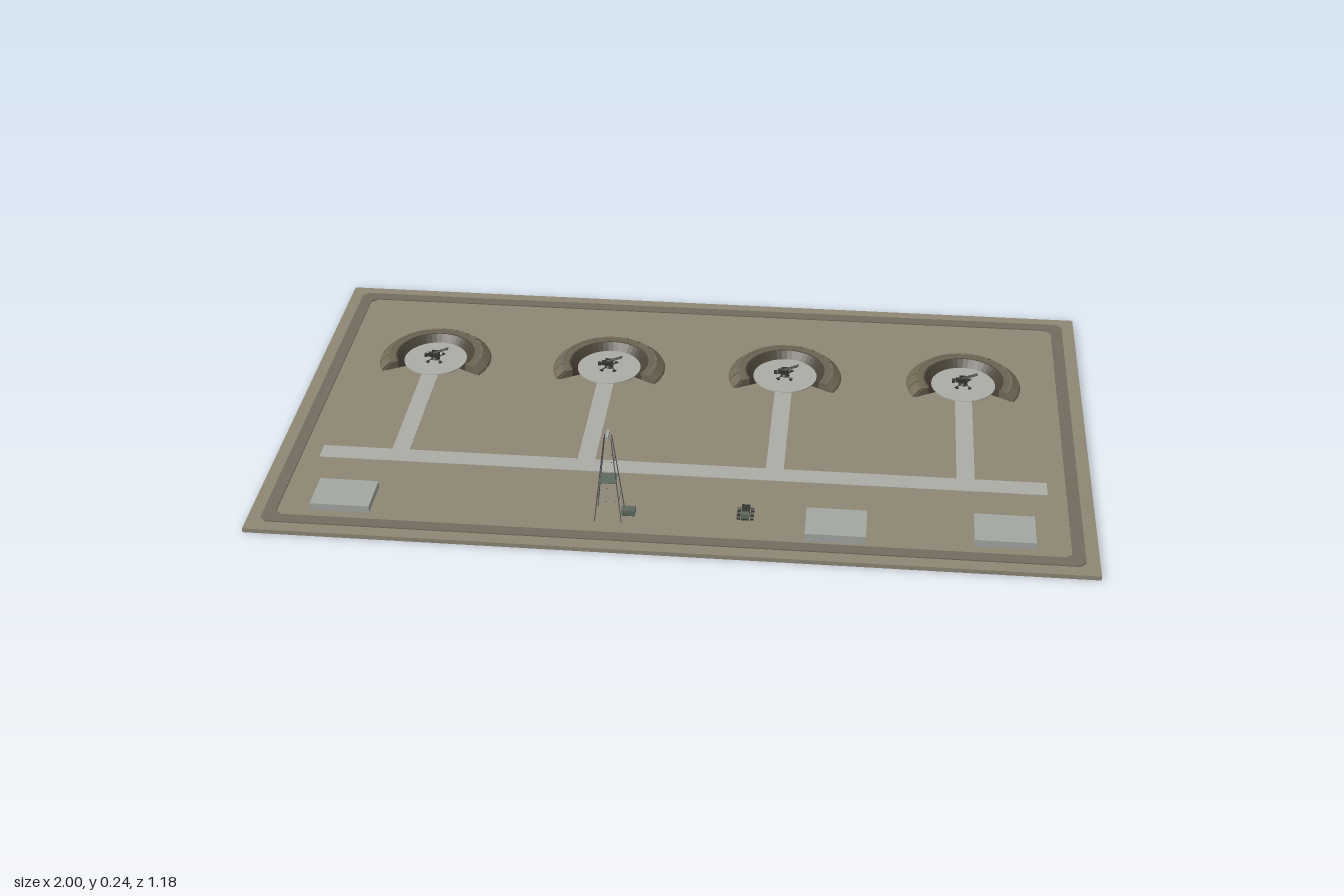
import * as THREE from 'three';
import { mergeGeometries } from 'three/addons/utils/BufferGeometryUtils.js';

const mat = (color) => new THREE.MeshStandardMaterial({ color, flatShading: true, side: THREE.DoubleSide });
const M = {
  ground: mat(0x8f8775), strip: mat(0x736c5f), concrete: mat(0xabaca6), building: mat(0xa3a7a1),
  bermTop: mat(0x6b6352), bermInner: mat(0x4a4438), bag: mat(0x746b59),
  gun: mat(0x34362f), green: mat(0x5d6a5f), steel: mat(0x55585a), panel: mat(0xa8aca8),
};
const TOP = 0.011; // ground surface height

function add(parent, name, geo, material, x = 0, y = 0, z = 0) {
  const m = new THREE.Mesh(geo, material);
  m.name = name;
  m.position.set(x, y, z);
  parent.add(m);
  return m;
}
const box = (w, h, d) => new THREE.BoxGeometry(w, h, d);

// Box standing on a given height
function slab(parent, name, material, w, h, d, x, z, y = TOP) {
  return add(parent, name, box(w, h, d), material, x, y + h / 2, z);
}

// Thin round bar between two points
function bar(parent, name, a, b, r, material, sides = 6) {
  const A = new THREE.Vector3(...a), B = new THREE.Vector3(...b), d = B.clone().sub(A);
  const m = add(parent, name, new THREE.CylinderGeometry(r, r, d.length(), sides), material);
  m.position.copy(A).lerp(B, 0.5);
  m.quaternion.setFromUnitVectors(new THREE.Vector3(0, 1, 0), d.normalize());
  return m;
}

// Closed profile [radius, height] swept over part of a circle, with capped ends
function arcSolid(profile, start, length, segments) {
  const pts = profile.map(([r, y]) => new THREE.Vector2(r, y));
  const parts = [new THREE.LatheGeometry([...pts, pts[0]], segments, start, length)];
  for (const phi of [start, start + length]) {
    parts.push(new THREE.ShapeGeometry(new THREE.Shape(pts)).rotateY(phi - Math.PI / 2));
  }
  return mergeGeometries(parts);
}

// Rectangle with cut corners
function cutRect(Type, hx, hz, c) {
  return new Type([[hx - c, -hz], [hx, c - hz], [hx, hz - c], [hx - c, hz],
    [c - hx, hz], [-hx, hz - c], [-hx, c - hz], [c - hx, -hz]].map(([x, y]) => new THREE.Vector2(x, y)));
}

function gun() {
  const g = new THREE.Group();
  g.name = 'gun';
  add(g, 'pedestal', new THREE.CylinderGeometry(0.007, 0.012, 0.008, 10), M.gun, 0, 0.004, 0);
  slab(g, 'cradle', M.gun, 0.03, 0.008, 0.014, -0.004, 0, 0.008);
  for (const s of [-1, 1]) {
    slab(g, 'sidePlate', M.gun, 0.016, 0.012, 0.002, -0.002, s * 0.009, 0.008);
    bar(g, 'barrel', [-0.01, 0.014, s * 0.003], [0.035, 0.032, s * 0.003], 0.0018, M.gun);
    bar(g, 'crossBeam', [-0.022, 0.002, -s * 0.022], [0.022, 0.002, s * 0.022], 0.0012, M.gun);
    for (const t of [-1, 1]) {
      add(g, 'foot', new THREE.CylinderGeometry(0.004, 0.004, 0.003, 8), M.gun, s * 0.016, 0.0015, t * 0.022);
    }
  }
  slab(g, 'seat', M.gun, 0.008, 0.006, 0.012, -0.025, 0, 0.006);
  return g;
}

// Horseshoe earthwork open to the front, with a concrete pad and a gun
function emplacement(x) {
  const g = new THREE.Group();
  g.name = 'emplacement';
  const start = Math.PI / 3, sweep = Math.PI * 4 / 3, n = 14, step = sweep / n;
  add(g, 'pad', new THREE.CylinderGeometry(0.083, 0.083, 0.003, 32), M.concrete, 0, 0.0015, 0);
  add(g, 'bermInnerSlope', arcSolid([[0.104, 0], [0.104, 0.0205], [0.1, 0.0205], [0.082, 0]], start, sweep, 28), M.bermInner);
  add(g, 'bermCore', arcSolid([[0.142, 0], [0.122, 0.02], [0.104, 0.02], [0.104, 0]], start, sweep, 28), M.bermTop);
  for (let i = 0; i < n; i++) {
    const wide = step * (i % 2 ? 0.86 : 0.92);
    add(g, 'revetmentBlock', arcSolid([[0.148, 0], [0.145, 0.006], [0.127, 0.0215], [0.12, 0.0215], [0.12, 0]],
      start + (i + 0.5) * step - wide / 2, wide, 2), M.bag);
  }
  const weapon = gun();
  weapon.position.y = 0.003;
  g.add(weapon);
  g.position.set(x, TOP, -0.22);
  return g;
}

// Four-legged mast with a thin platform and an upright panel
function mast() {
  const g = new THREE.Group();
  g.name = 'radarMast';
  const H = 0.22, half = (t) => 0.032 + (0.008 - 0.032) * t;
  const corners = [[-1, -1], [1, -1], [1, 1], [-1, 1]];
  const at = ([sx, sz], t) => [sx * half(t), t * H, sz * half(t)];
  corners.forEach((c, i) => {
    const next = corners[(i + 1) % 4];
    bar(g, 'leg', at(c, 0), at(c, 1), 0.0012, M.steel, 5);
    for (const t of [0.25, 0.72]) bar(g, 'brace', at(c, t), at(next, t), 0.0006, M.steel, 4);
  });
  slab(g, 'platform', M.green, 0.038, 0.002, 0.042, 0, 0, H * 0.46);
  slab(g, 'antennaPanel', M.panel, 0.006, 0.01, 0.033, 0, 0, H - 0.002);
  g.position.set(-0.147, TOP, 0.448);
  return g;
}

function truck() {
  const g = new THREE.Group();
  g.name = 'truck';
  slab(g, 'chassis', M.gun, 0.018, 0.004, 0.052, 0, 0, 0.004);
  slab(g, 'cab', M.green, 0.02, 0.013, 0.014, 0, 0.018, 0.007);
  slab(g, 'cargoBody', M.gun, 0.02, 0.009, 0.032, 0, -0.008, 0.007);
  for (const s of [-1, 1]) for (const z of [-0.017, 0, 0.017]) {
    add(g, 'wheel', new THREE.CylinderGeometry(0.005, 0.005, 0.008, 10).rotateZ(Math.PI / 2), M.gun, s * 0.016, 0.005, z);
  }
  g.position.set(0.175, TOP, 0.424);
  return g;
}

export function createModel() {
  const root = new THREE.Group();
  root.name = 'gunBattery';
  slab(root, 'ground', M.ground, 2, TOP, 1.176, 0, 0, 0);

  // Perimeter strip
  const ring = cutRect(THREE.Shape, 0.968, 0.555, 0.015);
  ring.holes.push(cutRect(THREE.Path, 0.938, 0.525, 0.015));
  add(root, 'perimeterStrip', new THREE.ExtrudeGeometry(ring, { depth: 0.003, bevelEnabled: false })
    .rotateX(-Math.PI / 2), M.strip, 0, TOP, 0);

  // Roads and emplacements
  slab(root, 'mainRoad', M.concrete, 1.785, 0.0015, 0.052, 0, 0.246);
  for (const x of [-0.698, -0.233, 0.232, 0.697]) {
    slab(root, 'accessRoad', M.concrete, 0.044, 0.0015, 0.37, x, 0.035);
    root.add(emplacement(x));
  }

  // Flat-roofed shelters: x, z, height
  for (const [x, z, h] of [[-0.788, 0.443, 0.018], [0.39, 0.46, 0.021], [0.784, 0.443, 0.018]]) {
    slab(root, 'shelter', M.building, 0.143, h, 0.108, x, z);
  }

  root.add(mast(), truck());

  // Generator beside the mast
  slab(root, 'generator', M.green, 0.032, 0.014, 0.022, -0.102, 0.443, TOP + 0.002);
  slab(root, 'generatorSkid', M.gun, 0.028, 0.002, 0.018, -0.102, 0.443);
  return root;
}
